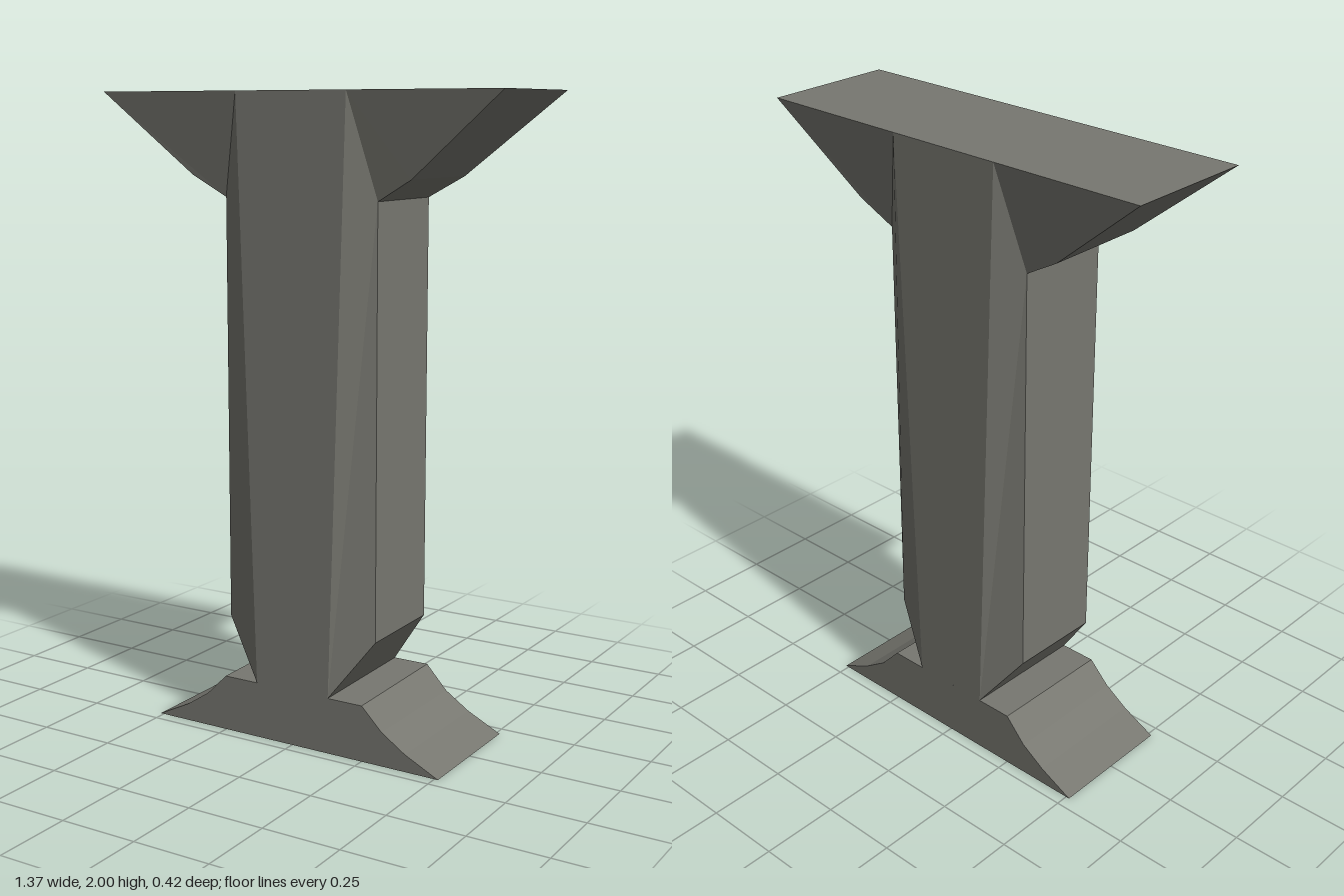
import * as THREE from 'three';

const stone = new THREE.MeshStandardMaterial({ color: 0x777770 });
stone.name = 'greyStone';

// The foot joint rises slightly towards the back
const tilt = (y, z) => (y > 0.1 && y < 0.5 ? y - 0.014 * z : y);

// Mirror convex polygons of one quarter (+x, +z) into all four quarters
function mirroredMesh(name, polygons) {
  const pos = [];
  for (const sx of [1, -1]) for (const sz of [1, -1]) {
    for (const poly of polygons) {
      const pts = poly.map(([x, y, z]) => [x * sx, tilt(y, z * sz), z * sz]);
      if (sx * sz < 0) pts.reverse();
      for (let i = 1; i < pts.length - 1; i++) pos.push(...pts[0], ...pts[i], ...pts[i + 1]);
    }
  }
  const geo = new THREE.BufferGeometry();
  geo.setAttribute('position', new THREE.Float32BufferAttribute(pos, 3));
  geo.computeVertexNormals();
  const mesh = new THREE.Mesh(geo, stone);
  mesh.name = name;
  return mesh;
}

export function createModel() {
  const group = new THREE.Group();
  group.name = 'pillar';

  // Corner points of one quarter of the pillar
  const mid = ([x, y]) => [x, y, 0];
  const foot = [0.13, 0.181, 0.21];
  const low = [0.265, 0.365, 0.155];
  const high = [0.265, 1.685, 0.155];
  const neck = [0.19, 2, 0.21];
  const bend = [0.38, 1.75, 0.167];
  const tip = [0.685, 2, 0.21];

  // Chamfered shaft, tapering in at the foot
  group.add(mirroredMesh('shaft', [
    [[0, 0.181, 0.21], foot, neck, [0, 2, 0.21]],
    [foot, low, high, neck],
    [low, mid(low), mid(high), high],
    [foot, mid(foot), mid(low), low],
  ]));

  // Flared brackets and flat top
  group.add(mirroredMesh('capital', [
    [neck, high, bend, tip],
    [high, mid(high), mid(bend), bend],
    [bend, mid(bend), mid(tip), tip],
    [[0, 2, 0.21], tip, mid(tip), [0, 2, 0]],
  ]));

  // Spreading base with concave sides
  const side = [[0.512, 0], [0.4, 0.055], [0.32, 0.108], [0.25, 0.181]];
  const outline = [...side, ...side.map(([x, y]) => [-x, y]).reverse()];
  const shape = new THREE.Shape(outline.map(([x, y]) => new THREE.Vector2(x, y)));
  const baseGeo = new THREE.ExtrudeGeometry(shape, { depth: 0.42, bevelEnabled: false });
  baseGeo.translate(0, 0, -0.21);
  const p = baseGeo.attributes.position;
  for (let i = 0; i < p.count; i++) if (p.getY(i) > 0.15) p.setY(i, tilt(p.getY(i), p.getZ(i)));
  baseGeo.computeVertexNormals();
  const base = new THREE.Mesh(baseGeo, stone);
  base.name = 'base';
  group.add(base);

  return group;
}
